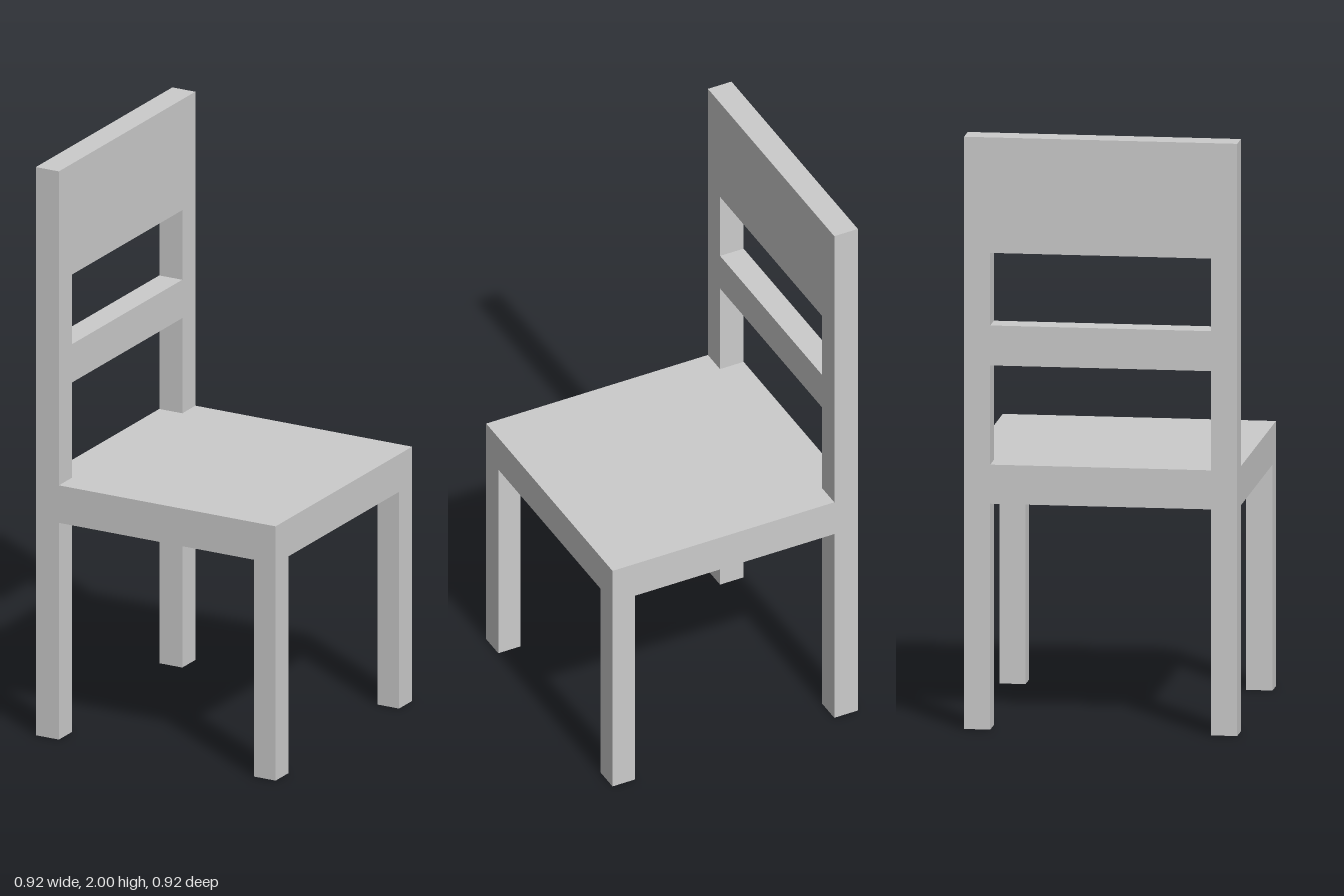
import * as THREE from 'three';

const HALF = 0.458;        // half width and half depth of the chair
const INNER = 0.37;        // inner face of the legs, sideways
const BACK_INNER = -0.37;  // front face of the backrest
const SEAT_LOW = 0.763, SEAT_TOP = 0.895;

export function createModel() {
  const chair = new THREE.Group();
  chair.name = 'chair';
  const material = new THREE.MeshStandardMaterial({ color: 0xcccccc, flatShading: true });

  const add = (name, geometry) => {
    const mesh = new THREE.Mesh(geometry, material);
    mesh.name = name;
    chair.add(mesh);
  };

  // Box given by its low and high limits on each axis
  const addBox = (name, [x0, x1], [y0, y1], [z0, z1]) => {
    const box = new THREE.BoxGeometry(x1 - x0, y1 - y0, z1 - z0);
    box.translate((x0 + x1) / 2, (y0 + y1) / 2, (z0 + z1) / 2);
    add(name, box);
  };

  // Back frame: rear legs, seat rail, middle slat and top panel in one board
  const frame = new THREE.Shape([
    [-HALF, 0], [-INNER, 0], [-INNER, SEAT_LOW], [INNER, SEAT_LOW],
    [INNER, 0], [HALF, 0], [HALF, 2], [-HALF, 2],
  ].map(([x, y]) => new THREE.Vector2(x, y)));

  // Openings below and above the middle slat
  for (const [low, high] of [[SEAT_TOP, 1.23], [1.365, 1.61]]) {
    frame.holes.push(new THREE.Path([
      [-INNER, low], [-INNER, high], [INNER, high], [INNER, low],
    ].map(([x, y]) => new THREE.Vector2(x, y))));
  }
  const board = new THREE.ExtrudeGeometry(frame, { depth: BACK_INNER + HALF, bevelEnabled: false });
  board.rotateY(Math.PI / 2).translate(-HALF, 0, 0);
  add('backFrame', board);

  // Seat slab, flush with the legs
  addBox('seat', [BACK_INNER, HALF], [SEAT_LOW, SEAT_TOP], [-HALF, HALF]);

  // Front legs
  addBox('frontLegNear', [0.375, HALF], [0, SEAT_LOW], [INNER, HALF]);
  addBox('frontLegFar', [0.375, HALF], [0, SEAT_LOW], [-HALF, -INNER]);

  return chair;
}
